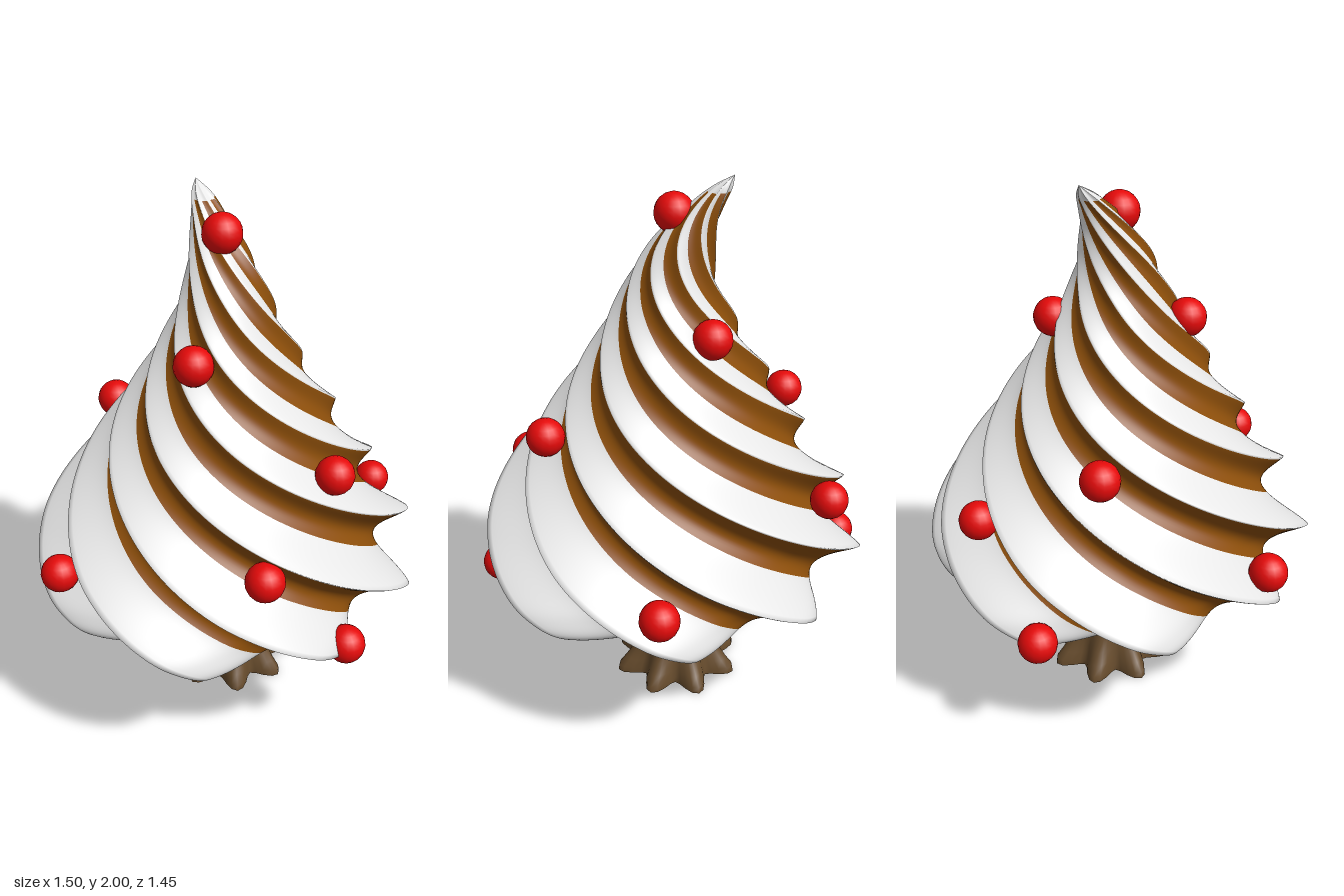
import * as THREE from 'three';

const white = new THREE.MeshStandardMaterial({ color: 0xf8f8f8 }); white.name = 'cream white';
const brown = new THREE.MeshStandardMaterial({ color: 0x8c4e0a }); brown.name = 'caramel brown';
const red = new THREE.MeshStandardMaterial({ color: 0xe60a0a }); red.name = 'berry red';
const bark = new THREE.MeshStandardMaterial({ color: 0x664b2c }); bark.name = 'bark brown';

// Closed loops stacked from bottom to top; isSecond picks the quads of the second colour.
function loopSurface(rows, cols, point, isSecond = () => false) {
  const pos = [], first = [], second = [];
  for (let j = 0; j < rows; j++) {
    for (let i = 0; i < cols; i++) pos.push(...point(j, i));
  }
  for (let j = 0; j < rows - 1; j++) {
    for (let i = 0; i < cols; i++) {
      const a = j * cols + i, d = j * cols + (i + 1) % cols;
      (isSecond(j, i) ? second : first).push(a, a + cols, d, d, a + cols, d + cols);
    }
  }
  const g = new THREE.BufferGeometry();
  g.setAttribute('position', new THREE.Float32BufferAttribute(pos, 3));
  g.setIndex([...first, ...second]);
  g.addGroup(0, first.length, 0);
  if (second.length) g.addGroup(first.length, second.length, 1);
  g.computeVertexNormals();
  return g;
}

// Foliage: eight twisted, leaning ridges with a bent tip
function makeFoliage() {
  const LOBES = 8, PER = 28, COLS = LOBES * PER;
  const profile = new THREE.SplineCurve([
    [0, 0.39], [0.3, 0.405], [0.5, 0.435], [0.65, 0.49], [0.715, 0.56], [0.73, 0.63],
    [0.715, 0.72], [0.67, 0.82], [0.535, 1.02], [0.415, 1.2], [0.285, 1.4],
    [0.178, 1.6], [0.102, 1.8], [0.062, 1.9], [0.035, 1.96], [0, 2],
  ].map(([r, y]) => new THREE.Vector2(r, y))).getSpacedPoints(210);

  const point = (j, i) => {
    const { x: R, y } = profile[j];
    const t = y - 0.5;
    const twist = 0.64 + 2.3 * t + 0.8 * t * t;
    const dip = Math.pow(Math.abs(Math.sin(Math.PI * i / PER)), 1.1);
    // Grooves get shallower toward the tip
    const upper = THREE.MathUtils.smoothstep(y, 0.6, 1.3);
    const r = R * (1 - (0.22 - 0.09 * upper) * dip);
    const a = twist + i / COLS * Math.PI * 2 - (0.08 - 0.04 * upper) * dip;
    const bend = -0.21 * Math.pow(Math.max(0, (y - 1.55) / 0.45), 2.3);
    return [r * Math.cos(a), y, r * Math.sin(a) + bend];
  };
  // Brown fills the underside of each ridge and ends in a rounded tongue at the rim
  const isBrown = (j, i) => {
    const p = (i % PER + 0.5) / PER, q = (p - 0.34) / 0.3;
    const y = (profile[j].y + profile[j + 1].y) / 2;
    return Math.abs(q) < 1 && y > 0.44 + 0.06 * q * q && y < 1.95;
  };
  return new THREE.Mesh(loopSurface(profile.length, COLS, point, isBrown), [white, brown]);
}

// Trunk: flares into eight pointed roots
function makeTrunk() {
  const COLS = 64;
  // radius, height, root depth; the repeated row keeps the sole edge sharp
  const rows = [
    [0, 0.005, 0.33], [0.252, 0.005, 0.33], [0.252, 0.005, 0.33], [0.248, 0.03, 0.33],
    [0.218, 0.06, 0.27], [0.184, 0.1, 0.17], [0.153, 0.15, 0.09], [0.132, 0.22, 0.03],
    [0.12, 0.3, 0.01], [0.112, 0.38, 0], [0.11, 0.46, 0],
  ];
  const point = (j, i) => {
    const [R, y, depth] = rows[j];
    const a = i / COLS * Math.PI * 2;
    const r = R * (1 - depth * (0.5 + 0.5 * Math.cos(8 * a)));
    return [r * Math.cos(a), y, r * Math.sin(a)];
  };
  const mesh = new THREE.Mesh(loopSurface(rows.length, COLS, point), bark);
  mesh.position.set(0.03, 0, -0.022);
  return mesh;
}

export function createModel() {
  const model = new THREE.Group();
  model.name = 'swirlTree';

  const foliage = makeFoliage();
  foliage.name = 'foliage';
  const trunk = makeTrunk();
  trunk.name = 'trunk';
  model.add(foliage, trunk);

  // Berries scattered over the ridges
  const berries = new THREE.Group();
  berries.name = 'berries';
  const ball = new THREE.SphereGeometry(0.07, 18, 12);
  [
    [-0.01, 1.87, -0.01],
    [-0.2, 1.49, 0.13], [0.18, 1.49, -0.145],
    [0.18, 1.11, 0.44], [-0.245, 1.11, -0.43],
    [-0.17, 0.865, 0.56], [0.18, 0.865, -0.58],
    [0.68, 0.695, 0.02], [-0.68, 0.695, -0.03],
    [0.12, 0.53, 0.65], [-0.145, 0.53, -0.66],
  ].forEach((p, n) => {
    const berry = new THREE.Mesh(ball, red);
    berry.name = 'berry' + (n + 1);
    berry.position.set(...p);
    berries.add(berry);
  });
  model.add(berries);
  return model;
}
